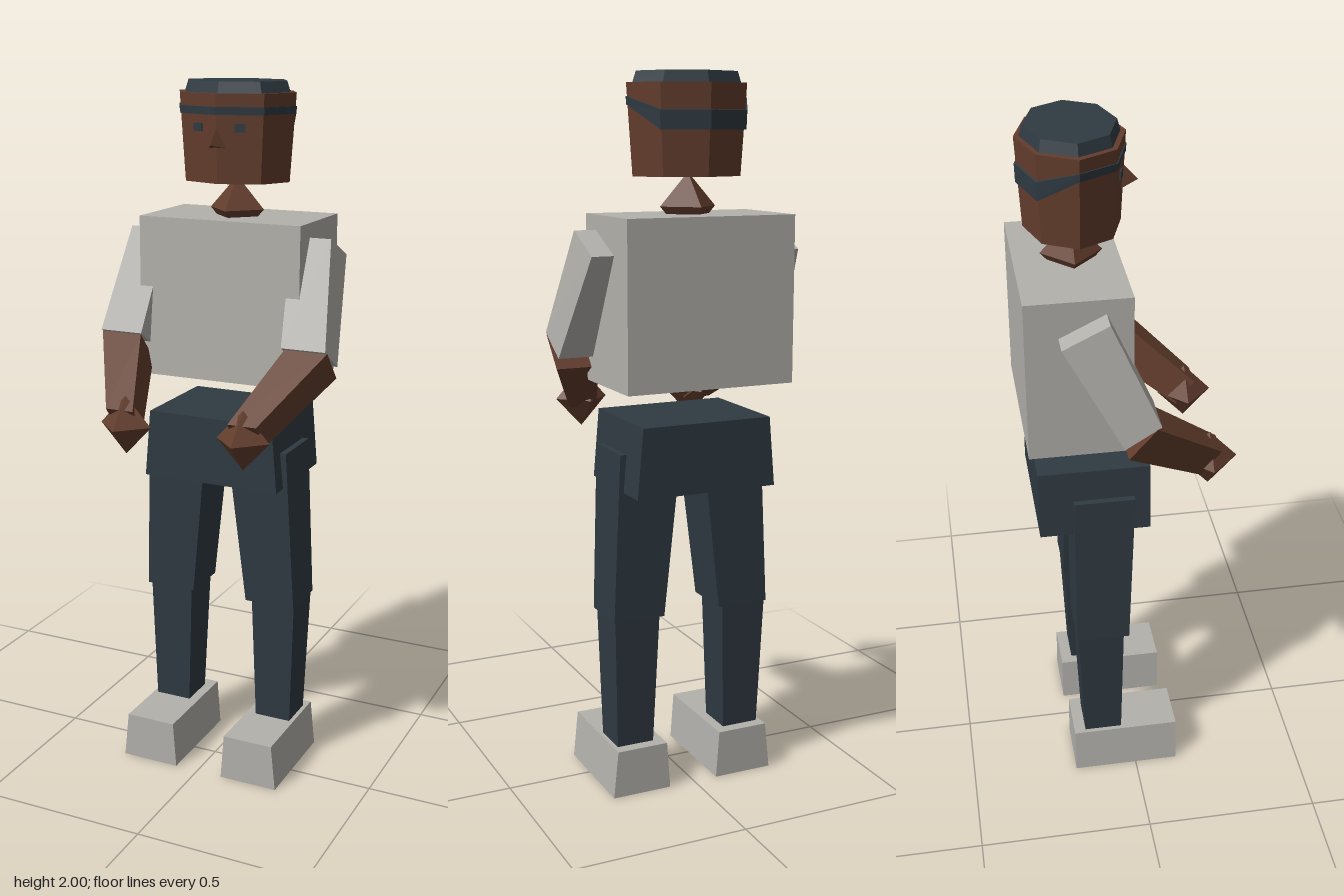
import * as THREE from 'three';

const mat = (name, color) => {
  const m = new THREE.MeshStandardMaterial({ color });
  m.name = name;
  return m;
};

// Faceted mesh with one normal per face
function facet(name, geometry, material) {
  const g = geometry.index ? geometry.toNonIndexed() : geometry;
  g.computeVertexNormals();
  const mesh = new THREE.Mesh(g, material);
  mesh.name = name;
  return mesh;
}

// Six-sided block between two ends; each end is { x: [min, max], front: [y, z], back: [y, z] }
function block(name, material, top, bottom, side = 1) {
  const g = new THREE.BoxGeometry(1, 1, 1);
  const p = g.attributes.position;
  for (let i = 0; i < p.count; i++) {
    const end = p.getY(i) > 0 ? top : bottom;
    const [y, z] = p.getZ(i) > 0 ? end.front : end.back;
    const right = p.getX(i) > 0;
    const x = side > 0 ? end.x[right ? 1 : 0] : -end.x[right ? 0 : 1];
    p.setXYZ(i, x, y, z);
  }
  return facet(name, g, material);
}

// Level end of a block
const level = (x0, x1, y, front, back) => ({ x: [x0, x1], front: [y, front], back: [y, back] });

// Eight-sided oval drum with its front corner facing +z
function drum(name, material, rTop, rBottom, y0, y1, zc) {
  const g = new THREE.CylinderGeometry(rTop, rBottom, y1 - y0, 8);
  g.scale(1, 1, 0.795);
  g.translate(0, (y0 + y1) / 2, zc);
  return facet(name, g, material);
}

export function createModel() {
  const skin = mat('brown skin', 0x633d2d);
  const navy = mat('dark navy', 0x2f3a42);
  const grey = mat('warm grey', 0xb3b1ac);

  const model = new THREE.Group();
  model.name = 'figure';
  const body = new THREE.Group();
  body.name = 'body';
  body.position.x = 0.004;
  model.add(body);

  // Torso and hips
  body.add(block('shirt', grey,
    level(-0.244, 0.244, 1.63, -0.01, -0.29), level(-0.244, 0.244, 1.175, -0.01, -0.29)));
  body.add(block('hips', navy,
    level(-0.19, 0.19, 1.08, 0.045, -0.265), level(-0.207, 0.207, 0.885, 0.045, -0.265)));

  // Neck
  const neck = new THREE.OctahedronGeometry(0.082);
  neck.scale(1, 1.1, 1);
  neck.translate(0, 1.65, -0.137);
  body.add(facet('neck', neck, skin));

  // Head, cap top and headband
  body.add(drum('head', skin, 0.177, 0.16, 1.73, 1.97, -0.133));
  body.add(drum('capTop', navy, 0.149, 0.16, 1.968, 2.0, -0.133));
  const band = new THREE.CylinderGeometry(0.1785, 0.1765, 1, 8);
  const bp = band.attributes.position;
  for (let i = 0; i < bp.count; i++) {
    const z = bp.getZ(i) * 0.795;
    const top = bp.getY(i) > 0;
    const low = z < -0.05; // the band drops behind the ears
    bp.setXYZ(i, bp.getX(i), top ? (low ? 1.9 : 1.935) : (low ? 1.85 : 1.914), z - 0.133);
  }
  body.add(facet('headband', band, navy));

  // Nose
  const nose = new THREE.TetrahedronGeometry(1);
  const corners = [[0, 1.88, 0], [0, 1.837, 0.039], [-0.028, 1.825, -0.012], [0.028, 1.825, -0.012]];
  const faces = [0, 2, 1, 0, 1, 3, 1, 2, 3, 0, 3, 2];
  nose.setAttribute('position',
    new THREE.Float32BufferAttribute(faces.flatMap((f) => corners[f]), 3));
  body.add(facet('nose', nose, skin));

  for (const s of [1, -1]) {
    const label = s > 0 ? 'left' : 'right';
    const limb = (part, material, top, bottom) =>
      body.add(block(label + part, material, top, bottom, s));

    // Eye
    const eye = facet(label + 'Eye', new THREE.BoxGeometry(0.03, 0.022, 0.009), navy);
    eye.position.set(s * 0.062, 1.88, -0.017);
    eye.rotation.y = s * 0.307;
    body.add(eye);

    // Arm
    limb('Sleeve', grey,
      { x: [0.19, 0.306], front: [1.59, -0.08], back: [1.53, -0.203] },
      { x: [0.215, 0.344], front: [1.305, 0.046], back: [1.245, -0.05] });
    limb('Forearm', skin,
      { x: [0.222, 0.346], front: [1.3, 0.035], back: [1.215, -0.04] },
      { x: [0.143, 0.226], front: [1.13, 0.235], back: [1.06, 0.18] });
    const hand = facet(label + 'Hand', new THREE.OctahedronGeometry(0.078), skin);
    hand.scale.y = 1.07;
    hand.position.set(s * 0.178, 1.083, 0.21);
    body.add(hand);

    // Leg
    limb('Thigh', navy,
      level(0.034, 0.216, 0.99, 0, -0.17), level(0.086, 0.238, 0.515, -0.02, -0.172));
    limb('Shin', navy,
      level(0.099, 0.234, 0.53, -0.035, -0.169), level(0.113, 0.222, 0.13, -0.042, -0.152));
    limb('Shoe', grey,
      level(0.084, 0.235, 0.137, 0.127, -0.186), level(0.074, 0.249, 0, 0.127, -0.186));
  }
  return model;
}
